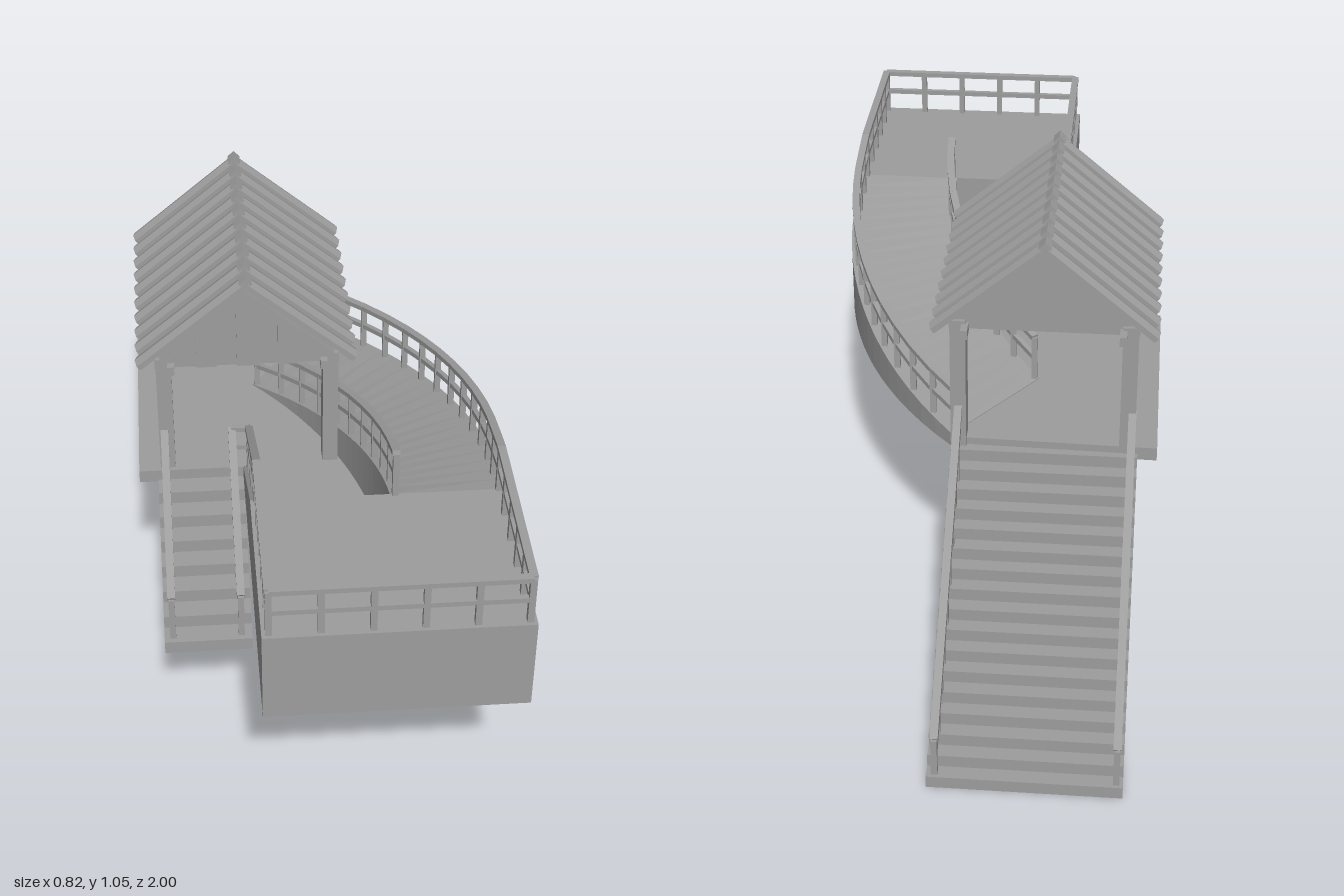
import * as THREE from 'three';

const mat = new THREE.MeshStandardMaterial({ color: 0x9d9d9d, flatShading: true, side: THREE.DoubleSide });
const V = (x, y, z) => new THREE.Vector3(x, y, z);

export function createModel() {
  const model = new THREE.Group();

  function add(name, geo, parent = model) {
    const mesh = new THREE.Mesh(geo, mat);
    mesh.name = name;
    parent.add(mesh);
    return mesh;
  }

  // Box given by its two extreme corners
  function box(name, x0, x1, y0, y1, z0, z1, parent) {
    const geo = new THREE.BoxGeometry(x1 - x0, y1 - y0, z1 - z0);
    geo.translate((x0 + x1) / 2, (y0 + y1) / 2, (z0 + z1) / 2);
    return add(name, geo, parent);
  }

  // Lays a geometry that runs along its own z from a to b
  function span(name, geo, a, b, parent) {
    const mesh = add(name, geo, parent);
    mesh.position.copy(a).add(b).multiplyScalar(0.5);
    mesh.lookAt(b);
  }

  // Side profile in (z, y) extruded between x0 and x1
  function sideProfile(name, pts, x0, x1) {
    const shape = new THREE.Shape(pts.map(([z, y]) => new THREE.Vector2(z, y)));
    const geo = new THREE.ExtrudeGeometry(shape, { depth: x1 - x0, bevelEnabled: false });
    geo.rotateY(-Math.PI / 2).translate(x1, 0, 0);
    add(name, geo);
  }

  // Railing: a post on every floor point, joined by a top and a middle rail
  function railing(name, pts, height = 0.115) {
    const group = new THREE.Group();
    group.name = name;
    model.add(group);
    pts.forEach((p, i) => {
      box('railPost', p.x - 0.007, p.x + 0.007, p.y - 0.01, p.y + height, p.z - 0.007, p.z + 0.007, group);
      if (i === 0) return;
      for (const [h, w] of [[height, 0.018], [height * 0.52, 0.012]]) {
        const a = V(0, h, 0).add(pts[i - 1]), b = V(0, h, 0).add(p);
        span('rail', new THREE.BoxGeometry(w, 0.012, a.distanceTo(b)), a, b, group);
      }
    });
  }
  const range = (n, f) => Array.from({ length: n + 1 }, (_, i) => f(i / n));
  const between = (a, b, n) => range(n, (t) => a.clone().lerp(b, t));

  // Stepped profile points climbing from (z0, y0) to (z1, y1)
  function steps(z0, y0, z1, y1, n) {
    const pts = [];
    for (let i = 0; i < n; i++) {
      const y = y0 + ((y1 - y0) * (i + 1)) / n;
      pts.push([z0 + ((z1 - z0) * i) / n, y], [z0 + ((z1 - z0) * (i + 1)) / n, y]);
    }
    return pts;
  }

  // Raised front deck and the sloped kerb that leads down from it
  box('upperDeck', -0.16, 0.408, 0.495, 0.72, 0.56, 1);
  sideProfile('slopedKerb', [[0.56, 0.495], [0.56, 0.72], [0.2, 0.53], [0.2, 0.495]], -0.16, -0.13);

  // Curved ramp edges, t = 0 at the deck and 1 at the platform
  const rampY = (t) => 0.72 - 0.19 * t;
  function outer(t, inset = 0) {
    const z = 0.56 - 0.95 * t, d = Math.min(0, z - 0.45);
    return V(-0.8 - inset + Math.sqrt(1.208 ** 2 - d * d), rampY(t), z);
  }
  function inner(t, inset = 0) {
    const z = 0.56 - 0.69 * t;
    return V(-0.92 + inset + Math.sqrt(1.07 ** 2 - (0.58 - z) ** 2), rampY(t), z);
  }

  // Ramp lofted from four-cornered sections
  const N = 20, pos = [], idx = [];
  for (let i = 0; i <= N; i++) {
    const a = inner(i / N), b = outer(i / N);
    pos.push(a.x, a.y, a.z, b.x, b.y, b.z, b.x, 0.495, b.z, a.x, 0.495, a.z);
    if (i === N) break;
    for (let k = 0; k < 4; k++) {
      const p = i * 4 + k, q = i * 4 + ((k + 1) % 4);
      idx.push(p, q, q + 4, p, q + 4, p + 4);
    }
  }
  idx.push(N * 4, N * 4 + 1, N * 4 + 2, N * 4, N * 4 + 2, N * 4 + 3);
  const rampGeo = new THREE.BufferGeometry();
  rampGeo.setAttribute('position', new THREE.Float32BufferAttribute(pos, 3));
  rampGeo.setIndex(idx);
  rampGeo.computeVertexNormals();
  add('curvedRamp', rampGeo);

  // Lower platform slab, outline in (x, z)
  const outline = [[-0.41, -0.41], [0.065, -0.4], [0.15, -0.2], [0.18, 0.56], [-0.16, 0.56], [-0.16, 0.2], [-0.41, 0.2]];
  const slab = new THREE.ExtrudeGeometry(
    new THREE.Shape(outline.map(([x, z]) => new THREE.Vector2(x, z))), { depth: 0.033, bevelEnabled: false });
  slab.rotateX(Math.PI / 2).translate(0, 0.528, 0);
  add('lowerPlatform', slab);

  // Long back stair with sloped underside, and short solid front stair
  sideProfile('backStair', [[-0.965, 0], [-1, 0], ...steps(-1, 0, -0.39, 0.51, 17), [-0.39, 0.495]], -0.365, 0.068);
  sideProfile('frontStair', [[0.2, 0.27], [0.56, 0.27], ...steps(0.56, 0.27, 0.2, 0.5, 7)], -0.365, -0.16);

  // Railings of deck and ramp
  railing('deckRailing', [
    ...between(V(-0.145, 0.53, 0.2), V(-0.145, 0.72, 0.57), 5),
    ...between(V(-0.145, 0.72, 0.57), V(-0.145, 0.72, 0.985), 5).slice(1),
    ...between(V(-0.145, 0.72, 0.985), V(0.393, 0.72, 0.985), 5).slice(1),
    ...between(V(0.393, 0.72, 0.985), V(0.393, 0.72, 0.56), 5).slice(1),
    ...range(13, (t) => outer(t, 0.015)).slice(1),
  ]);
  railing('innerRampRailing', range(10, (t) => inner(t, 0.012)));

  // Railings of stairs and platform
  for (const x of [-0.35, 0.05]) railing('backStairRailing', between(V(x, 0.01, -0.985), V(x, 0.505, -0.4), 9));
  for (const x of [-0.345, -0.185]) railing('frontStairRailing', between(V(x, 0.305, 0.54), V(x, 0.525, 0.19), 3));
  railing('platformRailing', between(V(-0.345, 0.53, -0.36), V(-0.345, 0.53, -0.12), 3));
  railing('cornerRailing', [V(-0.185, 0.525, 0.19), V(-0.145, 0.53, 0.2)]);

  // Shelter posts, purlins and ridge beam
  const cx = -0.145, ridgeY = 1.03;
  for (const s of [-1, 1]) {
    const x = cx + s * 0.195, px = cx + s * 0.178;
    for (const z of [0.165, -0.385]) box('shelterPost', x - 0.018, x + 0.018, 0.5, 0.845, z - 0.024, z + 0.024);
    box('purlin', px - 0.008, px + 0.008, 0.815, 0.838, -0.44, 0.21);
  }
  box('ridgeBeam', cx - 0.012, cx + 0.012, 1.0, 1.025, -0.4, 0.17);

  // Gable walls of vertical boards cut along the roof slope
  const slope = 0.87, boards = 9, half = 0.215, w = (2 * half) / boards;
  const top = (x) => Math.max(0.826, ridgeY - 0.008 - slope * Math.abs(x));
  for (const z of [0.172, -0.4]) {
    for (let i = 0; i < boards; i++) {
      const x0 = -half + i * w, x1 = x0 + w;
      const shape = new THREE.Shape();
      shape.moveTo(cx + x0, 0.822).lineTo(cx + x1, 0.822).lineTo(cx + x1, top(x1));
      if (x0 < 0 && x1 > 0) shape.lineTo(cx, top(0));
      shape.lineTo(cx + x0, top(x0));
      const geo = new THREE.ExtrudeGeometry(shape, { depth: i % 2 ? 0.014 : 0.02, bevelEnabled: false });
      add('gableBoard', geo.translate(0, 0, z));
    }
  }

  // Spaced six-sided roof slats on both slopes
  for (let i = 0; i < 10; i++) {
    const z = 0.158 - i * 0.0609;
    for (const s of [-1, 1]) {
      const a = V(cx, ridgeY, z), b = V(cx + s * 0.252, 0.816, z);
      const slat = new THREE.CylinderGeometry(0.023, 0.023, a.distanceTo(b), 6).rotateX(Math.PI / 2).scale(1, 0.6, 1);
      span('roofSlat', slat, a, b);
    }
    const cap = new THREE.CylinderGeometry(0.015, 0.015, 0.036, 4).rotateX(Math.PI / 2);
    add('ridgeCap', cap.translate(cx, ridgeY + 0.005, z));
  }
  return model;
}
